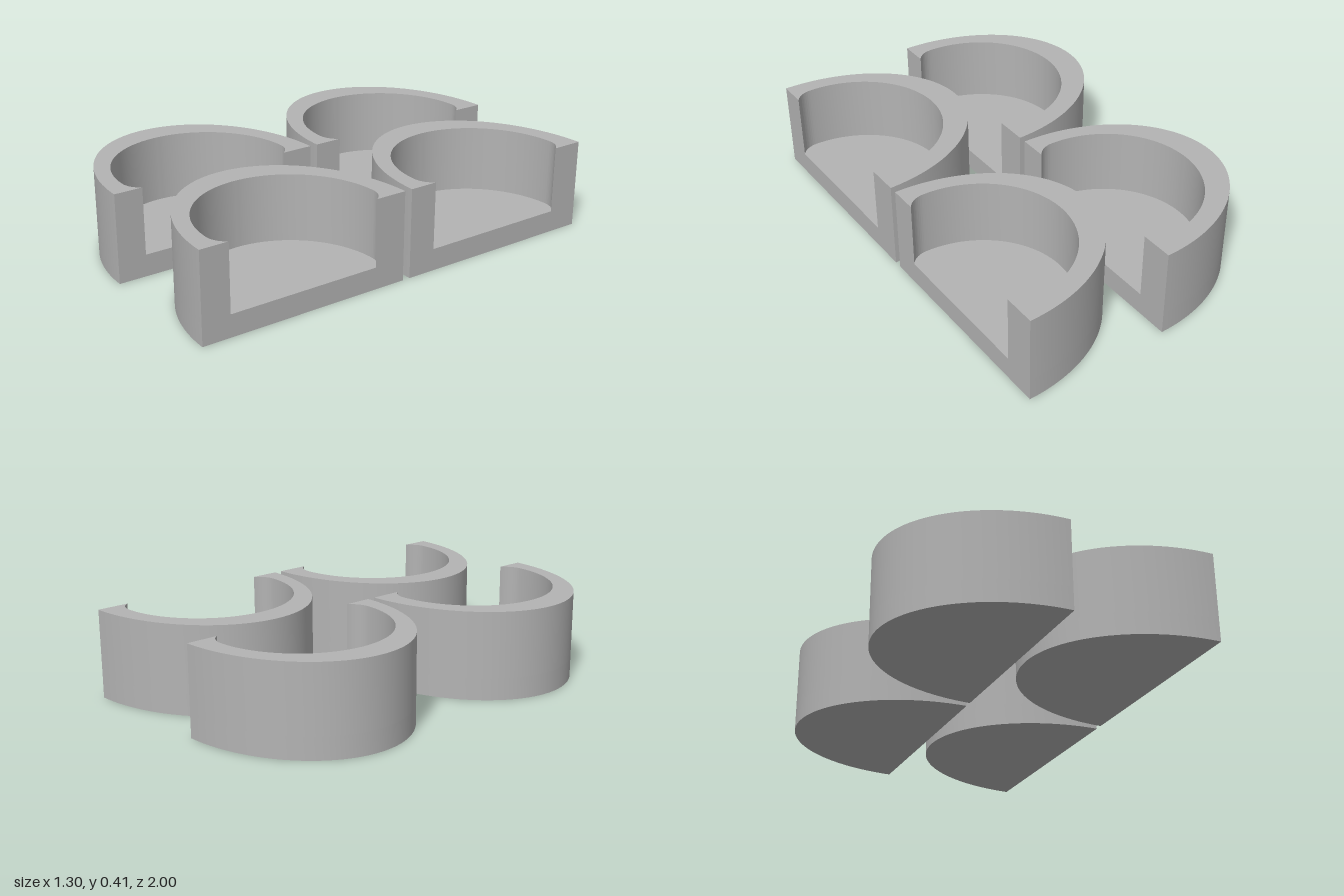
import * as THREE from 'three';
import { toCreasedNormals } from 'three/addons/utils/BufferGeometryUtils.js';

const WIDTH = 0.633, HALF = 0.491; // half-oval footprint
const FLOOR = 0.1, HEIGHT = 0.405;

// Half oval with its flat side on x = 0, bulging towards -x
function halfOval() {
  const s = new THREE.Shape();
  s.moveTo(0, HALF);
  s.absellipse(0, 0, WIDTH, HALF, Math.PI / 2, Math.PI * 1.5, false, 0);
  return s;
}

// The same outline with an open pocket whose mouth curls inwards
function wallOutline() {
  const cx = -0.085, cy = -0.009, rx = 0.422, ry = 0.4, r = 0.1;
  const end = Math.acos(-cx / r), q = Math.PI / 2;
  const s = halfOval();
  s.absarc(cx, cy - ry + r, r, -end, -q, true);
  s.absellipse(cx, cy, rx, ry, -q, -3 * q, true, 0);
  s.absarc(cx, cy + ry - r, r, q, end, true);
  s.closePath();
  return s;
}

// Upright extrusion from y = bottom to y = top
function slab(shape, bottom, top) {
  const g = new THREE.ExtrudeGeometry(shape, { depth: top - bottom, bevelEnabled: false, curveSegments: 40 });
  g.rotateX(-Math.PI / 2);
  g.translate(0, bottom, 0);
  return toCreasedNormals(g, 0.5);
}

export function createModel() {
  const model = new THREE.Group();
  model.name = 'halfOvalTrays';
  const grey = new THREE.MeshStandardMaterial({ color: 0xb3b3b3 });
  grey.name = 'grey';

  const floorGeometry = slab(halfOval(), 0, FLOOR);
  const wallGeometry = slab(wallOutline(), FLOOR, HEIGHT);

  // Two by two grid of identical trays, all opening towards +x
  for (const x of [-0.017, 0.65]) {
    for (const z of [-0.509, 0.509]) {
      const tray = new THREE.Group();
      tray.name = 'tray';
      const floor = new THREE.Mesh(floorGeometry, grey);
      floor.name = 'trayFloor';
      const wall = new THREE.Mesh(wallGeometry, grey);
      wall.name = 'trayWall';
      tray.add(floor, wall);
      tray.position.set(x, 0, z);
      model.add(tray);
    }
  }
  return model;
}
